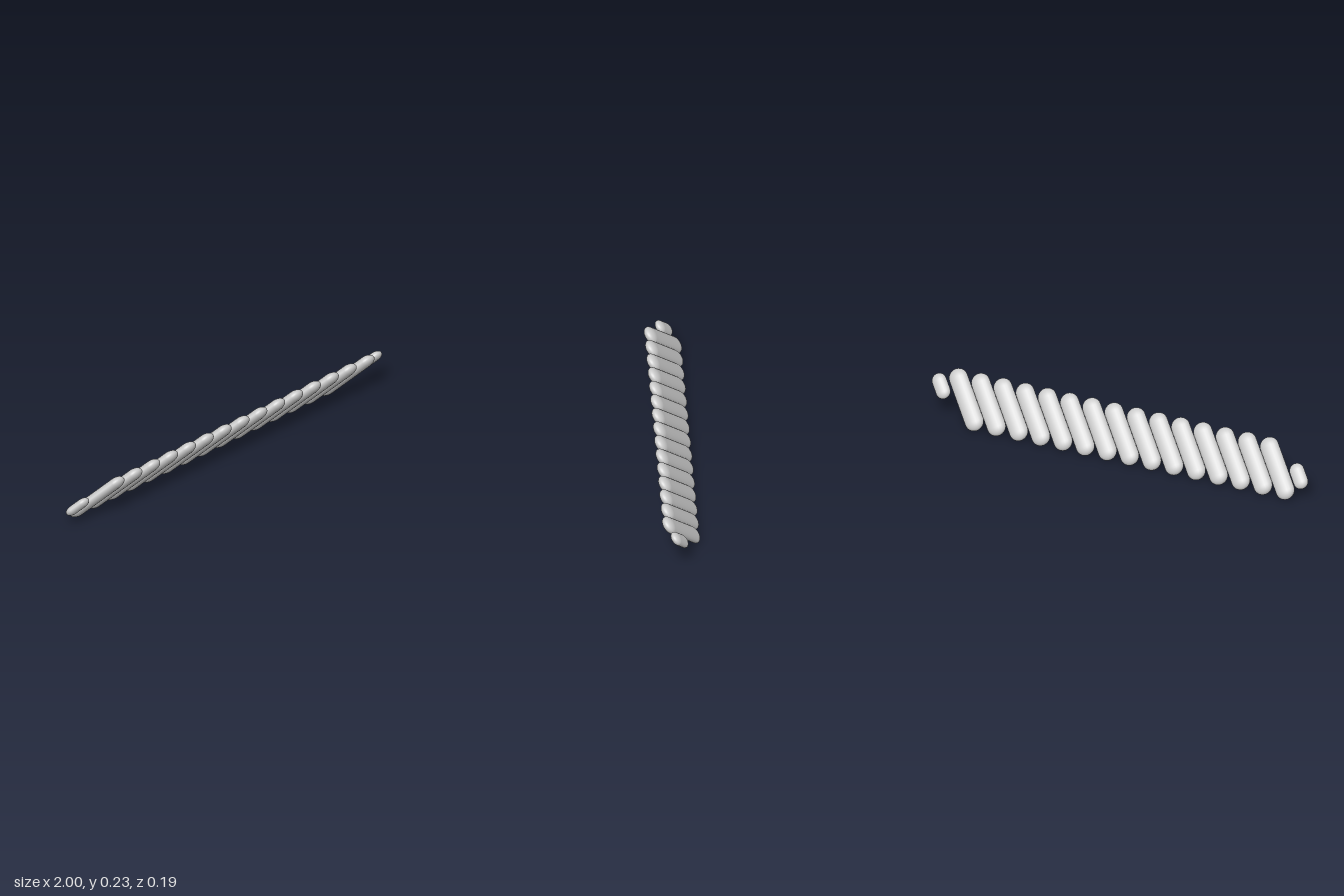
import * as THREE from 'three';

const TILT = 0.672; // slope of the whole band, top edge towards the front
const LEAN = -0.618; // lean of each strand within the band

export function createModel() {
  const model = new THREE.Group();
  const material = new THREE.MeshStandardMaterial({ color: 0xcccccc });

  // Flattened capsule lying in the sloped band
  function addStrand(name, geometry, x, y, z) {
    const mesh = new THREE.Mesh(geometry, material);
    mesh.name = name;
    mesh.position.set(x, y, z);
    mesh.rotation.set(TILT, 0, LEAN);
    model.add(mesh);
  }

  function strandGeometry(radius, halfLength, thickness) {
    const geometry = new THREE.CapsuleGeometry(radius, 2 * halfLength, 8, 20);
    geometry.scale(1, 1, thickness / radius);
    return geometry;
  }

  // Row of identical slanted strands
  const strand = strandGeometry(0.0475, 0.116, 0.027);
  for (let i = 0; i < 15; i++) {
    addStrand(`strand${i + 1}`, strand, -0.8275 + i * 0.1167, 0.115, 0);
  }

  // Short stubs closing both ends
  const stub = strandGeometry(0.037, 0.029, 0.022);
  addStrand('rightEndStub', stub, -0.945, 0.104, -0.01);
  addStrand('leftEndStub', stub, 0.945, 0.151, 0.015);

  return model;
}
